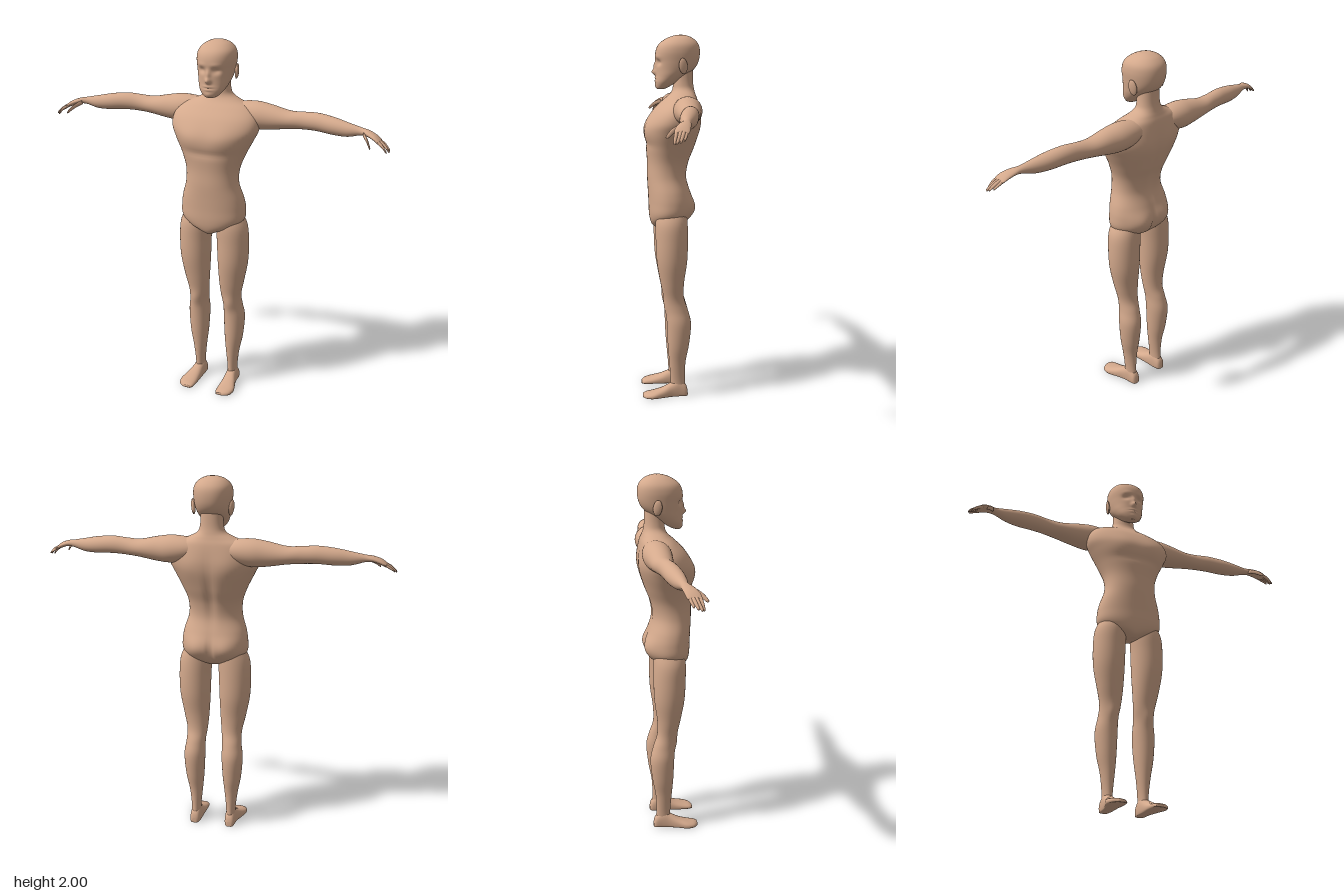
import * as THREE from 'three';

const skin = new THREE.MeshStandardMaterial({ color: 0xd4a98c });
skin.name = 'skin';

// Axis orders (two across the section, then the one along the part)
const ALONG_X = (a, b, s) => [s, a, b];
const ALONG_Y = (a, b, s) => [b, s, a];
const ALONG_Z = (a, b, s) => [a, b, s];

// Smooth blend of whole rows
function blendRows(rows, steps) {
  const out = [];
  const at = (i) => rows[Math.min(Math.max(i, 0), rows.length - 1)];
  for (let i = 0; i < rows.length - 1; i++) {
    for (let k = 0; k < steps; k++) {
      const t = k / steps;
      out.push(rows[i].map((p1, c) => {
        const p0 = at(i - 1)[c], p2 = at(i + 1)[c], p3 = at(i + 2)[c];
        return p1 + 0.5 * t * (p2 - p0 + t * (2 * p0 - 5 * p1 + 4 * p2 - p3 + t * (3 * (p1 - p2) + p3 - p0)));
      }));
    }
  }
  out.push(rows[rows.length - 1]);
  return out;
}

// Closed loft through rows [s, a, b, ra, rb]; bumps push the front (+1) or back (-1) in z
function loft(rows, axes, { sides = 32, steps = 5, power = 2, bumps = [], floor = -1, side = 1 } = {}) {
  const rings = blendRows(rows, steps);
  const first = rings[0], last = rings[rings.length - 1];
  rings.unshift([first[0], first[1], first[2], 1e-4, 1e-4]);
  rings.push([last[0], last[1], last[2], 1e-4, 1e-4]);
  const round = (v) => Math.sign(v) * Math.abs(v) ** (2 / power);
  const pos = [], index = [];
  rings.forEach(([s, a, b, ra, rb], i) => {
    for (let j = 0; j < sides; j++) {
      const th = (j / sides) * Math.PI * 2, c = Math.cos(th);
      const p = axes(a + ra * round(c), b + rb * round(Math.sin(th)), s);
      let dz = 0;
      for (const [x, y, sx, sy, amount, face] of bumps) {
        const w = Math.min(1, Math.max(0, c * face) * 1.5);
        dz += amount * w * Math.exp(-(((p[0] - x) / sx) ** 2) - ((p[1] - y) / sy) ** 2);
      }
      pos.push(p[0] * side, Math.max(p[1], floor), p[2] + dz);
      if (i === rings.length - 1) continue;
      const n = (j + 1) % sides, q = i * sides;
      const quad = [q + j, q + n, q + sides + j, q + n, q + sides + n, q + sides + j];
      index.push(...(side > 0 ? quad : quad.reverse()));
    }
  });
  const geo = new THREE.BufferGeometry();
  geo.setAttribute('position', new THREE.Float32BufferAttribute(pos, 3));
  geo.setIndex(index);
  geo.computeVertexNormals();
  return geo;
}

// Upright rows [y, zFront, zBack, xHigh, xLow] to centre and radius
const upright = (rows) => rows.map(([y, f, k, h, l = -h]) => [y, (f + k) / 2, (h + l) / 2, (f - k) / 2, (h - l) / 2]);

// Same bump on both sides of the body
const pair = (x, ...rest) => [[x, ...rest], [-x, ...rest]];

const torsoRows = upright([
  [0.952, 0.08, 0.01, 0.02], [0.968, 0.1, -0.045, 0.06], [0.998, 0.112, -0.085, 0.14],
  [1.04, 0.118, -0.105, 0.18], [1.1, 0.12, -0.112, 0.183], [1.16, 0.123, -0.105, 0.173],
  [1.24, 0.127, -0.088, 0.149], [1.32, 0.127, -0.1, 0.15], [1.4, 0.133, -0.13, 0.178],
  [1.48, 0.138, -0.152, 0.218], [1.54, 0.125, -0.158, 0.245], [1.6, 0.09, -0.155, 0.24],
  [1.65, 0.04, -0.148, 0.2], [1.682, 0.005, -0.138, 0.125], [1.71, -0.012, -0.13, 0.076],
  [1.75, -0.016, -0.124, 0.062], [1.83, -0.02, -0.122, 0.058],
]);
const torsoBumps = [
  ...pair(0.085, 1.07, 0.075, 0.065, -0.03, -1), // buttocks
  ...pair(0.09, 1.5, 0.08, 0.06, 0.011, 1), // chest muscles
  ...pair(0.1, 1.54, 0.07, 0.08, -0.01, -1), // shoulder blades
  [0, 1.38, 0.025, 0.16, 0.012, -1], // spine groove
  [0, 1.06, 0.012, 0.06, 0.012, -1],
  [0, 1.42, 0.13, 0.02, -0.006, 1], // rib edge
];

const headRows = upright([
  [1.712, 0.068, 0.035, 0.022], [1.722, 0.075, 0.01, 0.042], [1.75, 0.08, -0.035, 0.066],
  [1.785, 0.077, -0.085, 0.082], [1.82, 0.077, -0.13, 0.091], [1.86, 0.078, -0.153, 0.098],
  [1.91, 0.079, -0.16, 0.103], [1.95, 0.062, -0.152, 0.096], [1.98, 0.022, -0.125, 0.07],
  [1.996, -0.02, -0.09, 0.036], [2.0, -0.05, -0.065, 0.01],
]);
const headBumps = [
  [0, 1.803, 0.015, 0.015, 0.022, 1], [0, 1.835, 0.012, 0.025, 0.012, 1], // nose
  ...pair(0.04, 1.855, 0.022, 0.016, -0.013, 1), // eye sockets
  ...pair(0.04, 1.884, 0.03, 0.012, 0.004, 1), // brows
  [0, 1.771, 0.024, 0.007, 0.006, 1], [0, 1.756, 0.022, 0.006, 0.005, 1], // lips
  [0, 1.764, 0.026, 0.004, -0.005, 1], [0, 1.73, 0.02, 0.013, 0.005, 1], // mouth, chin
];

const legRows = upright([
  [0.025, 0.005, -0.082, 0.128, 0.077], [0.1, 0.004, -0.076, 0.129, 0.076],
  [0.2, 0.012, -0.08, 0.141, 0.066], [0.3, 0.02, -0.098, 0.16, 0.056],
  [0.42, 0.025, -0.109, 0.169, 0.05], [0.5, 0.03, -0.092, 0.159, 0.05],
  [0.57, 0.042, -0.07, 0.158, 0.042], [0.66, 0.06, -0.07, 0.177, 0.034],
  [0.78, 0.08, -0.086, 0.199, 0.028], [0.9, 0.086, -0.09, 0.203, 0.024],
  [1.0, 0.086, -0.088, 0.193, 0.02], [1.08, 0.065, -0.08, 0.15, 0.04],
]);

// Foot rows: z, x, top height, half width
const footRows = [
  [-0.092, 0.104, 0.03, 0.012], [-0.08, 0.103, 0.065, 0.026], [-0.04, 0.102, 0.095, 0.031],
  [0, 0.105, 0.077, 0.034], [0.05, 0.112, 0.052, 0.042], [0.1, 0.118, 0.036, 0.049],
  [0.14, 0.114, 0.026, 0.042], [0.16, 0.104, 0.016, 0.022],
].map(([z, x, top, r]) => [z, x, top * 0.35, r, top * 0.65]);

const armRows = [
  [0.06, 1.62, -0.08, 0.04, 0.05], [0.14, 1.615, -0.08, 0.064, 0.07], [0.22, 1.61, -0.078, 0.074, 0.076],
  [0.3, 1.607, -0.075, 0.066, 0.067], [0.4, 1.605, -0.073, 0.048, 0.055], [0.48, 1.61, -0.069, 0.046, 0.044],
  [0.56, 1.613, -0.06, 0.047, 0.045], [0.65, 1.605, -0.046, 0.045, 0.045], [0.73, 1.598, -0.033, 0.036, 0.035],
  [0.8, 1.6, -0.024, 0.02, 0.022], [0.84, 1.597, -0.012, 0.016, 0.03], [0.88, 1.583, 0.001, 0.015, 0.036],
  [0.905, 1.569, 0.007, 0.011, 0.035], [0.912, 1.565, 0.008, 0.006, 0.028],
];
// Digit rows along x: start, middle, end as [x, y, z, radius]
const fingers = [
  [[0.885, 1.578, 0.028], [0.925, 1.553, 0.037], [0.948, 1.527, 0.043]],
  [[0.89, 1.577, 0.011], [0.932, 1.555, 0.02], [0.96, 1.529, 0.033]],
  [[0.89, 1.576, -0.004], [0.93, 1.557, 0.005], [0.958, 1.534, 0.016]],
  [[0.885, 1.575, -0.018], [0.92, 1.558, -0.011], [0.945, 1.54, -0.003]],
];
const thumb = [[0.82, 1.592, 0.002], [0.85, 1.572, 0.042], [0.872, 1.547, 0.07]];
const digitRows = ([a, b, c], r) => [
  [...a, r, r], [...b, r * 0.95, r * 0.95], [...c, r * 0.65, r * 0.65],
  [c[0] + 0.003, c[1] - 0.003, c[2], r * 0.3, r * 0.3],
];

export function createModel() {
  const model = new THREE.Group();
  model.name = 'figure';
  const add = (name, geo, parent = model) => {
    const mesh = new THREE.Mesh(geo, skin);
    mesh.name = name;
    parent.add(mesh);
    return mesh;
  };

  add('torsoAndNeck', loft(torsoRows, ALONG_Y, { sides: 72, steps: 6, power: 2.15, bumps: torsoBumps }));
  add('head', loft(headRows, ALONG_Y, { sides: 112, steps: 8, power: 2.15, bumps: headBumps }));

  for (const [label, side] of [['left', 1], ['right', -1]]) {
    const ear = add(label + 'Ear', new THREE.SphereGeometry(1, 20, 14));
    ear.scale.set(0.011, 0.042, 0.024);
    ear.position.set(0.103 * side, 1.838, -0.063);
    ear.rotation.set(0.15, 0.25 * side, -0.12 * side);

    const knee = [[0.105, 0.52, 0.03, 0.04, 0.008, 1]];
    add(label + 'Leg', loft(legRows, ALONG_Y, { sides: 40, bumps: knee, side }));
    add(label + 'Foot', loft(footRows, ALONG_Z, { power: 2.3, floor: 0.002, side }));
    add(label + 'Arm', loft(armRows, ALONG_X, { sides: 40, side }));

    const digits = new THREE.Group();
    digits.name = label + 'Digits';
    model.add(digits);
    fingers.forEach((f, i) => add('finger' + (i + 1), loft(digitRows(f, i === 3 ? 0.008 : 0.0095), ALONG_X, { sides: 14, side }), digits));
    add('thumb', loft(digitRows(thumb, 0.012), ALONG_X, { sides: 14, side }), digits);
  }
  return model;
}
